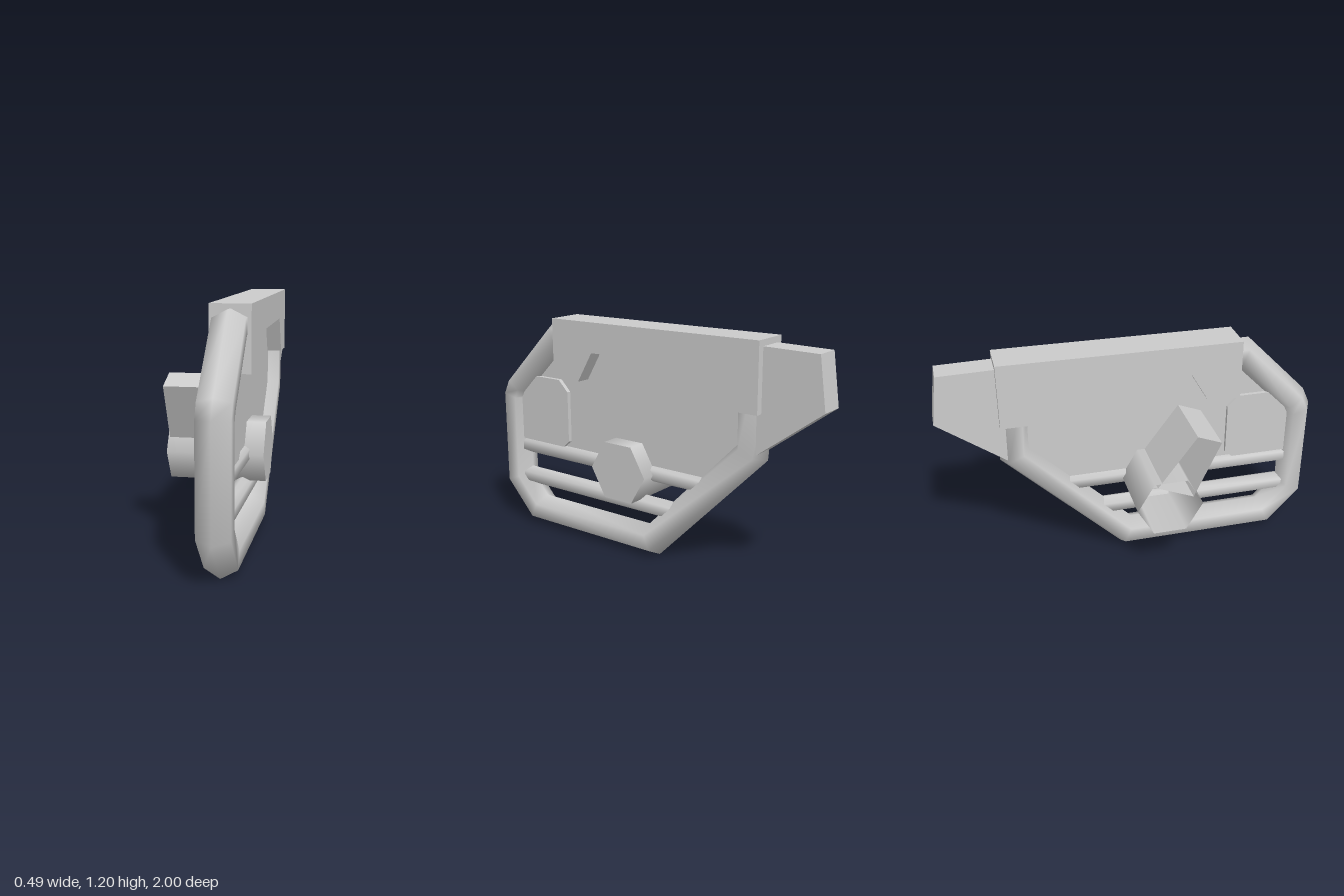
import * as THREE from 'three';

const MID = 0.127; // x of the door's middle plane
const grey = new THREE.MeshStandardMaterial({ color: 0xcccccc });
const greyOpen = new THREE.MeshStandardMaterial({ color: 0xcccccc, side: THREE.DoubleSide });

function part(name, geometry, material = grey) {
  const mesh = new THREE.Mesh(geometry, material);
  mesh.name = name;
  return mesh;
}

// Side outline given as [z, y], extruded from x0 to x1
function plate(outline, x0, x1) {
  const shape = new THREE.Shape(outline.map(([z, y]) => new THREE.Vector2(-z, y)));
  const geo = new THREE.ExtrudeGeometry(shape, { depth: x1 - x0, bevelEnabled: false });
  return geo.rotateY(Math.PI / 2).translate(x0, 0, 0);
}

// Mitred six-sided tube along a [z, y] path in the middle plane
function hexTube(path, rIn, rX) {
  const pts = path.map(([z, y]) => new THREE.Vector2(z, y));
  const pos = [], idx = [], N = 6;
  pts.forEach((p, i) => {
    const d0 = p.clone().sub(pts[Math.max(i - 1, 0)]).normalize();
    const d1 = pts[Math.min(i + 1, pts.length - 1)].clone().sub(p).normalize();
    const t = d0.clone().add(d1).normalize();
    const mitre = 1 / t.dot(i ? d0 : d1);
    for (let j = 0; j < N; j++) {
      const a = (j / N) * Math.PI * 2;
      const off = Math.cos(a) * rIn * mitre;
      const side = (-Math.sin(a) * rX) / Math.cos(Math.PI / 6);
      pos.push(MID + side, p.y + t.x * off, p.x - t.y * off);
      if (i < pts.length - 1) {
        const k = i * N, n = (j + 1) % N;
        idx.push(k + j, k + n, k + N + n, k + j, k + N + n, k + N + j);
      }
    }
  });
  const geo = new THREE.BufferGeometry();
  geo.setAttribute('position', new THREE.Float32BufferAttribute(pos, 3));
  geo.setIndex(idx);
  geo.computeVertexNormals();
  return geo;
}

// Open-ended sleeve: only the walls of a [z, y] outline (clockwise seen from +x)
function sleeve(outline, x0, x1) {
  const pos = [];
  outline.forEach(([z, y], i) => {
    const [z2, y2] = outline[(i + 1) % outline.length];
    pos.push(x0, y, z, x1, y2, z2, x1, y, z, x0, y, z, x0, y2, z2, x1, y2, z2);
  });
  const geo = new THREE.BufferGeometry();
  geo.setAttribute('position', new THREE.Float32BufferAttribute(pos, 3));
  geo.computeVertexNormals();
  return geo;
}

export function createModel() {
  const door = new THREE.Group();
  door.name = 'door';

  // Bent tube round the door
  door.add(part('frameTube', hexTube([
    [0.45, 1.1], [0.59, 1.1], [0.895, 0.795], [0.923, 0.735], [0.923, 0.25],
    [0.77, 0.085], [-0.035, 0.085], [-0.615, 0.67], [-0.61, 1.02],
  ], 0.0785, 0.0775)));

  // Two rails across the lower opening
  for (const [name, y, zBack] of [['upperRail', 0.45, -0.39], ['lowerRail', 0.268, -0.21]]) {
    door.add(part(name, hexTube([[0.91, y], [zBack, y]], 0.05, 0.044)));
  }

  // Thin skin filling the upper opening
  door.add(part('panel', plate([
    [0.58, 1.1], [0.91, 0.77], [0.91, 0.46], [-0.4, 0.46], [-0.61, 0.67], [-0.61, 1.1],
  ], 0.11, 0.145)));

  // Raised plate at the front of the skin
  door.add(part('frontPlate', plate([
    [0.58, 0.86], [0.52, 0.8], [0.52, 0.525], [0.56, 0.49],
    [0.88, 0.49], [0.92, 0.55], [0.92, 0.75], [0.82, 0.86],
  ], 0.09, 0.167)));

  // Top beam with its long cut-out
  door.add(part('topBeam', plate([
    [0.56, 1.2], [0.56, 0.885], [0.39, 0.885], [0.295, 1.045],
    [-0.44, 1.06], [-0.525, 0.87], [-0.685, 0.87], [-0.685, 1.21],
  ], 0.028, 0.223)));

  // Wedge behind the beam
  door.add(part('rearWedge', plate([
    [-0.655, 1.18], [-0.655, 0.665], [-1, 0.92], [-0.965, 1.175],
  ], 0.058, 0.187)));

  // Six-sided hub through the skin, closed on the +x end only
  const hub = new THREE.Group();
  hub.name = 'hub';
  hub.position.set(0, 0.448, 0.117);
  const barrel = new THREE.CylinderGeometry(0.173, 0.173, 0.485, 6, 1, true).rotateZ(Math.PI / 2);
  hub.add(part('hubBarrel', barrel, greyOpen));
  hub.add(part('hubCap', new THREE.CircleGeometry(0.173, 6).rotateY(Math.PI / 2).translate(0.2425, 0, 0)));
  door.add(hub);

  // Leaning open sleeve on top of the hub
  door.add(part('leaningSleeve', sleeve([
    [0.05, 0.57], [0.24, 0.49], [0.377, 0.79], [0.25, 0.84],
  ], -0.235, 0.12), greyOpen));

  return door;
}
